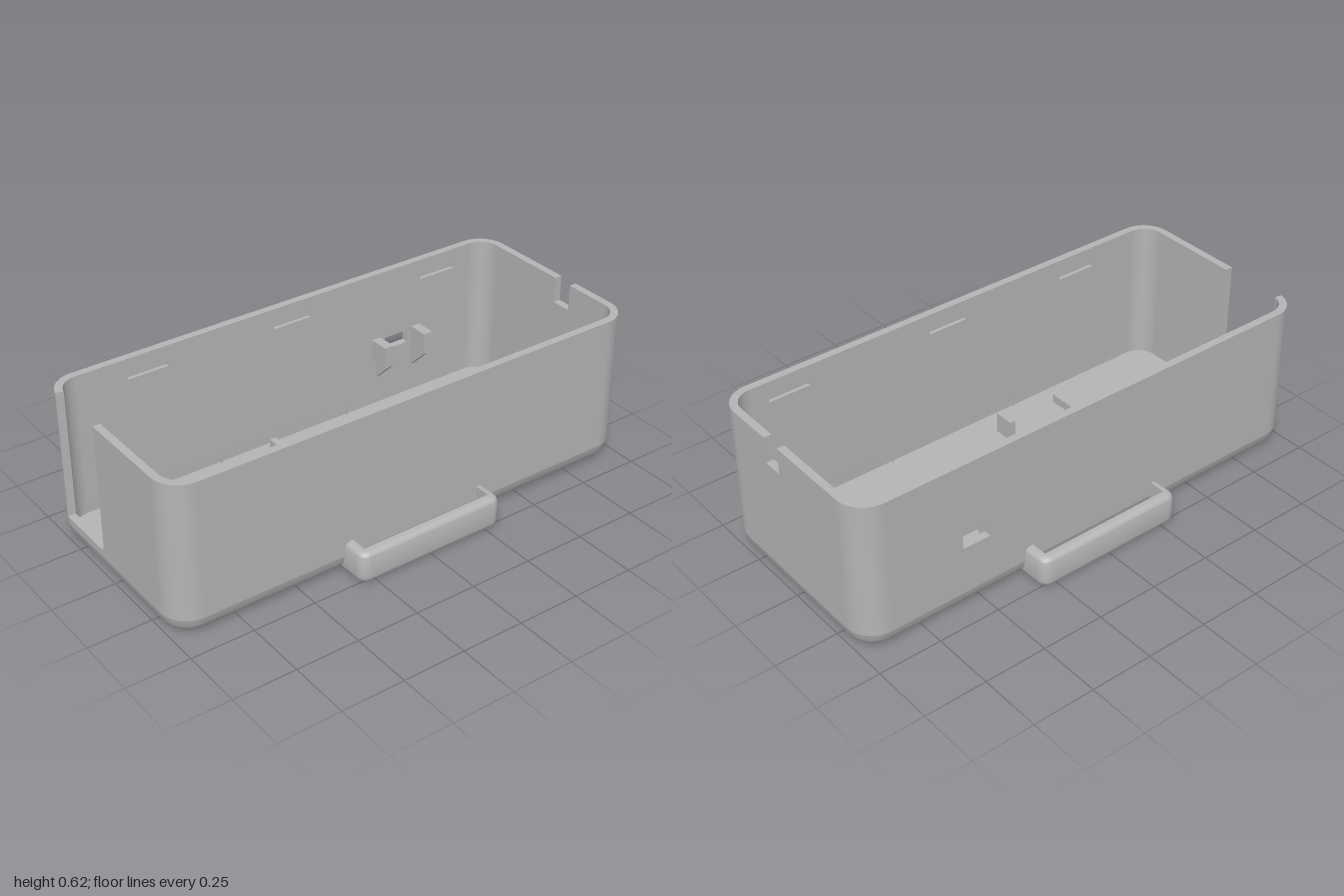
import * as THREE from 'three';
import { toCreasedNormals } from 'three/addons/utils/BufferGeometryUtils.js';

const W = 0.42, L = 1, H = 0.615, T = 0.03, R = 0.11; // half width, half length, height, wall, corner
const SPLIT = 0.07, FLOOR = 0.035;
const V = (x, y, z) => new THREE.Vector3(x, y, z);

// Skin a list of equal-length rings; faces point outwards for rings running from +x to +z and upwards
function loft(rings) {
  const pos = [], tri = new THREE.Triangle();
  const add = (a, b, c) => {
    tri.set(a, b, c);
    if (tri.getArea() > 1e-9) for (const p of [a, b, c]) pos.push(p.x, p.y, p.z);
  };
  for (let j = 0; j < rings.length - 1; j++) {
    const lo = rings[j], hi = rings[j + 1];
    for (let i = 0; i < lo.length - 1; i++) {
      add(lo[i], hi[i], lo[i + 1]);
      add(lo[i + 1], hi[i], hi[i + 1]);
    }
  }
  const g = new THREE.BufferGeometry();
  g.setAttribute('position', new THREE.Float32BufferAttribute(pos, 3));
  return toCreasedNormals(g, 0.6);
}

// Closed rounded rectangle at height y, inset from the outer wall
function rectRing(inset, y, n = 10) {
  const pts = [], r = R - inset;
  [[1, 1], [-1, 1], [-1, -1], [1, -1]].forEach(([sx, sz], k) => {
    for (let i = 0; i <= n; i++) {
      const a = (k + i / n) * Math.PI / 2;
      pts.push(V(sx * (W - R) + r * Math.cos(a), y, sz * (L - R) + r * Math.sin(a)));
    }
  });
  pts.push(pts[0].clone());
  return pts;
}

// Open U running out from the side wall and back
function uRing(hx, hz, r, y, n = 6) {
  const x0 = y < FLOOR ? 0.37 : 0.395;
  const pts = [V(x0, y, -hz)];
  for (const s of [-1, 1]) {
    for (let i = 0; i <= n; i++) {
      const a = (s < 0 ? i / n - 1 : i / n) * Math.PI / 2;
      pts.push(V(hx - r + r * Math.cos(a), y, s * (hz - r) + r * Math.sin(a)));
    }
  }
  pts.push(V(x0, y, hz));
  return pts;
}

const shapeOf = (pts) => new THREE.Shape(pts.map(([x, y]) => new THREE.Vector2(x, y)));
const rectPath = (x0, x1, y0, y1) =>
  new THREE.Path([[x0, y0], [x0, y1], [x1, y1], [x1, y0]].map(([x, y]) => new THREE.Vector2(x, y)));
const extrude = (shape, depth) =>
  new THREE.ExtrudeGeometry(shape, { depth, bevelEnabled: false, curveSegments: 10 });

export function createModel() {
  const model = new THREE.Group();
  const grey = new THREE.MeshStandardMaterial({ color: 0xb4b4b4 });
  grey.name = 'grey plastic';
  const add = (name, geo, x = 0, y = 0, z = 0) => {
    const m = new THREE.Mesh(geo, grey);
    m.name = name;
    m.position.set(x, y, z);
    model.add(m);
    return m;
  };

  // Base tray with rounded lower edge and inner floor
  const centre = (y) => rectRing(0, y).map(() => V(0, y, 0));
  const edge = [[0.045, 0], [0.03, 0.011], [0.017, 0.025], [0.007, 0.043], [0, SPLIT]];
  add('baseTray', loft([
    centre(0), ...edge.map(([d, y]) => rectRing(d, y)),
    rectRing(T, SPLIT), rectRing(T, FLOOR), centre(FLOOR),
  ]));

  // Rounded corner posts; the one beside the front opening is trimmed above the sill
  const corner = (k, y0, y1, trim) => {
    const a0 = k * Math.PI / 2, a1 = a0 + Math.PI / 2 - trim;
    const s = new THREE.Shape();
    s.absarc(0, 0, R, a0, a1, false);
    s.absarc(0, 0, R - T, a1, a0, true);
    const g = toCreasedNormals(extrude(s, y1 - y0).rotateX(-Math.PI / 2), 0.6);
    const sx = k === 0 || k === 3 ? 1 : -1, sz = k < 2 ? -1 : 1;
    add('cornerWall', g, sx * (W - R), y0, sz * (L - R));
  };
  for (const k of [0, 1, 3]) corner(k, SPLIT, H, 0);
  corner(2, SPLIT, 0.1, 0);
  corner(2, 0.1, H, 0.18);

  // Front wall with tall opening
  const e = W - R;
  const front = new THREE.Shape();
  front.moveTo(-e, SPLIT);
  front.lineTo(e, SPLIT);
  front.lineTo(e, H);
  front.lineTo(-0.065, H);
  front.lineTo(-0.065, 0.13);
  front.quadraticCurveTo(-0.065, 0.1, -0.095, 0.1);
  front.lineTo(-e, 0.1);
  add('frontWall', extrude(front, T), 0, 0, L - T);

  // Back wall with cable notch
  add('backWall', extrude(shapeOf([
    [-e, SPLIT], [e, SPLIT], [e, H], [0.12, H], [0.12, 0.51], [0.04, 0.51], [0.04, H], [-e, H],
  ]), T), 0, 0, -L);

  // Side walls in two layers, so the lid slots are recessed from the inside
  for (const s of [-1, 1]) {
    for (const inner of [false, true]) {
      const w = shapeOf([[-L + R, SPLIT], [L - R, SPLIT], [L - R, H], [-L + R, H]]);
      if (s < 0) w.holes.push(rectPath(-0.585, -0.47, 0.265, 0.32));
      if (inner) for (const z of [0.6, -0.03, -0.73]) w.holes.push(rectPath(z - 0.085, z + 0.085, 0.53, 0.555));
      const g = extrude(w, T / 2).rotateY(-Math.PI / 2);
      const a = inner ? W - T : W - T / 2;
      add(inner ? 'sideWallInner' : 'sideWallOuter', g, s > 0 ? a + T / 2 : -a);
    }
  }

  // Strap loops on both sides
  const f = 0.026, rings = [];
  for (let i = 0; i <= 5; i++) {
    const t = i / 5 * Math.PI / 2, d = f * (1 - Math.sin(t));
    rings.push([d, f * (1 - Math.cos(t))]);
  }
  const outer = [...rings, ...rings.map(([d, y]) => [d, 0.127 - y]).reverse()]
    .map(([d, y]) => uRing(0.525 - d, 0.315 - d, 0.04 - d, y));
  const hole = [0.127, 0].map((y) => uRing(0.485, 0.28, 0.004, y));
  const loop = loft([...outer, ...hole, outer[0]]);
  add('strapLoopLeft', loop);
  add('strapLoopRight', loop).rotation.y = Math.PI;

  // Raised pads on the floor
  const pad = (x0, x1, z0, z1) => {
    const s = new THREE.Shape(), r = 0.025, w = (x1 - x0) / 2, h = (z1 - z0) / 2;
    [[w, h], [-w, h], [-w, -h], [w, -h]].forEach(([x, y], k) =>
      s.absarc(x - Math.sign(x) * r, y - Math.sign(y) * r, r, k * Math.PI / 2, (k + 1) * Math.PI / 2, false));
    add('floorPad', toCreasedNormals(extrude(s, 0.04).rotateX(-Math.PI / 2), 0.6),
      (x0 + x1) / 2, 0.03, (z0 + z1) / 2);
  };
  pad(-0.325, -0.07, 0.565, 0.82);
  pad(0.07, 0.32, 0.42, 0.72);

  // Small upright stops on the floor
  for (const x of [-0.257, 0.25]) add('floorStop', new THREE.BoxGeometry(0.083, 0.09, 0.025), x, 0.075, 0.133);

  // Pair of holders either side of the side port, each with a tapered support
  for (const [z, dir] of [[-0.43, -1], [-0.625, 1]]) {
    const rib = shapeOf([[-0.395, 0.15], [-0.305, 0.24], [-0.305, 0.33], [-0.395, 0.33]]);
    add('holderRib', extrude(rib, 0.02), 0, 0, dir < 0 ? z - 0.02 : z);
    add('holderPlate', new THREE.BoxGeometry(0.09, 0.09, 0.02), -0.35, 0.285, z - dir * 0.01);
  }
  return model;
}
